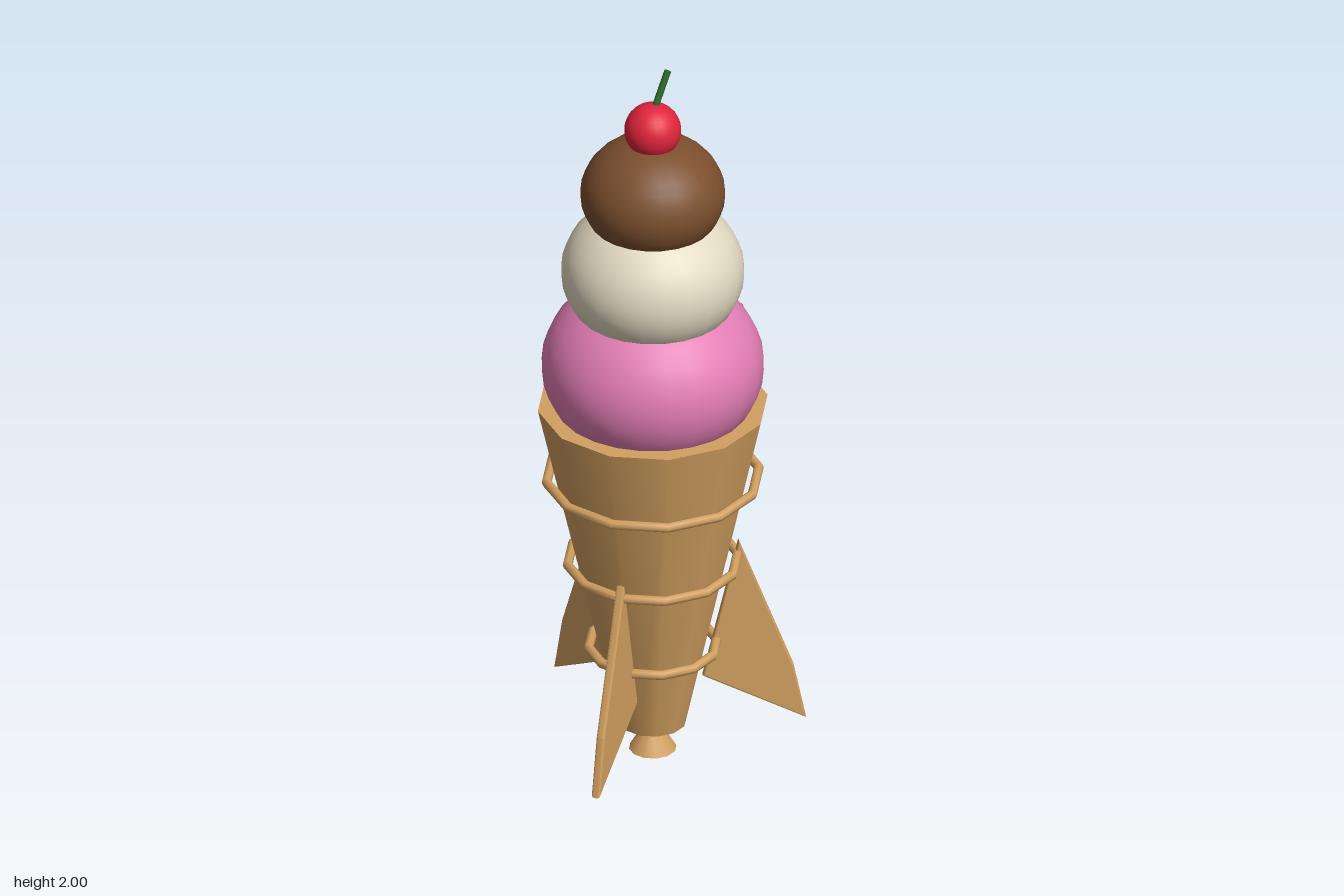
import * as THREE from 'three';

export function createModel() {
  const material = (name, color) => {
    const m = new THREE.MeshStandardMaterial({ color });
    m.name = name;
    return m;
  };
  const waffle = material('waffle tan', 0xd2a060);
  const strawberry = material('strawberry pink', 0xe27db4);
  const vanilla = material('vanilla cream', 0xe2d9c1);
  const chocolate = material('chocolate brown', 0x7b4f2e);
  const cherryRed = material('cherry red', 0xe0243b);
  const stemGreen = material('stem green', 0x2f6b2b);

  const model = new THREE.Group();
  model.name = 'iceCreamRocket';
  const body = new THREE.Group(); // everything sits on one vertical axis
  body.name = 'body';
  body.position.z = 0.05;
  model.add(body);

  const add = (name, geometry, mat, y = 0) => {
    const mesh = new THREE.Mesh(geometry, mat);
    mesh.name = name;
    mesh.position.y = y;
    body.add(mesh);
    return mesh;
  };
  const frustum = (name, top, bottom, y0, y1) =>
    add(name, new THREE.CylinderGeometry(top, bottom, y1 - y0, 12), waffle, (y0 + y1) / 2);

  // Waffle cone, its chamfered tip and the engine nozzle
  frustum('cone', 0.3, 0.088, 0.08, 1.025);
  frustum('coneTip', 0.088, 0.055, 0.064, 0.08);
  frustum('nozzle', 0.02, 0.062, 0, 0.07);

  // Hoops standing slightly off the cone
  [[0.81, 0.277], [0.56, 0.222], [0.308, 0.167]].forEach(([y, radius], i) => {
    const hoop = new THREE.TorusGeometry(radius, 0.013, 8, 12).rotateX(Math.PI / 2);
    add('hoop' + (i + 1), hoop, waffle, y);
  });

  // Three bevelled fins
  const profile = new THREE.Shape([
    [0.13, 0.205], [0.4, 0.06], [0.367, 0.22], [0.224, 0.6],
  ].map(([r, y]) => new THREE.Vector2(r, y)));
  const finGeometry = new THREE.ExtrudeGeometry(profile, {
    depth: 0.008, bevelEnabled: true, bevelThickness: 0.0075,
    bevelSize: 0.006, bevelOffset: -0.006, bevelSegments: 3,
  }).translate(0, 0, -0.004);
  for (let i = 0; i < 3; i++) {
    add('fin' + (i + 1), finGeometry, waffle).rotation.y = Math.PI / 2 + i * Math.PI * 2 / 3;
  }

  // Slightly squashed scoops
  const scoop = (name, radius, y, mat) =>
    add(name, new THREE.SphereGeometry(radius, 24, 18).scale(1, 0.84, 1), mat, y);
  scoop('strawberryScoop', 0.289, 1.142, strawberry);
  scoop('vanillaScoop', 0.238, 1.42, vanilla);
  scoop('chocolateScoop', 0.188, 1.65, chocolate);

  // Cherry with a leaning stem
  add('cherry', new THREE.SphereGeometry(0.074, 24, 16), cherryRed, 1.838);
  const lean = 0.42;
  const stem = add('stem', new THREE.CylinderGeometry(0.009, 0.009, 0.12, 8), stemGreen, 1.942);
  stem.position.x = 0.025;
  stem.rotation.z = -lean;

  // Single green speck on the pink scoop
  const speck = add('speck', new THREE.SphereGeometry(0.009, 10, 8), stemGreen, 1.23);
  speck.position.x = 0.265;
  speck.position.z = 0.03;
  speck.scale.set(0.8, 1.3, 1);

  return model;
}
